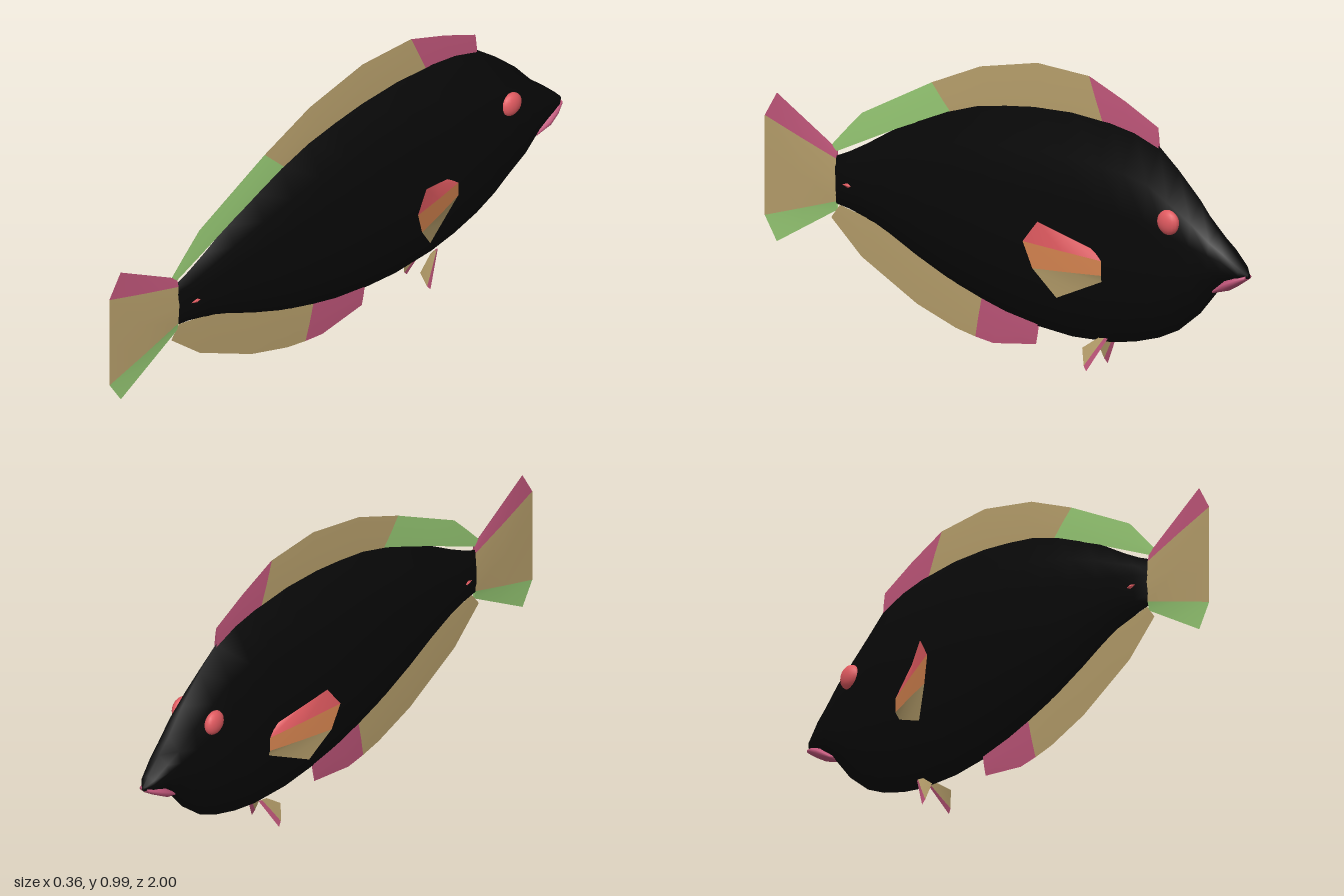
import * as THREE from 'three';

const mat = (name, color) => {
  const m = new THREE.MeshStandardMaterial({ color, side: THREE.DoubleSide });
  m.name = name;
  return m;
};

function geometry(pos, idx) {
  const g = new THREE.BufferGeometry();
  g.setAttribute('position', new THREE.Float32BufferAttribute(pos, 3));
  g.setIndex(idx);
  g.computeVertexNormals();
  return g;
}

// Body cross-section: [width factor, height factor], ridge at top and bottom
const RING = [[0, 1], [0.8, 0.64], [0.99, 0.26], [1, -0.22], [0.8, -0.64],
  [0, -1], [-0.8, -0.64], [-1, -0.22], [-0.99, 0.26], [-0.8, 0.64]];

// Loft through stations [z, top, bottom, half width], from nose to tail
function loft(stations) {
  const pos = [], idx = [], n = RING.length, last = stations.length - 1;
  for (const [z, top, bottom, w] of stations)
    for (const [a, b] of RING)
      pos.push(a * w, (top + bottom) / 2 + b * (top - bottom) / 2, z);
  for (let i = 0; i < last; i++)
    for (let j = 0; j < n; j++) {
      const a = i * n + j, b = i * n + (j + 1) % n;
      idx.push(a, b, a + n, b, b + n, a + n);
    }
  for (let j = 1; j < n - 1; j++) {
    idx.push(0, j + 1, j);
    idx.push(last * n, last * n + j, last * n + j + 1);
  }
  return geometry(pos, idx);
}

// Tapered fin strip: rows of [base point, edge point, half thickness at base]
function finStrip(rows, normal) {
  const pos = [], idx = [];
  for (const s of [1, -1]) {
    const start = pos.length / 3;
    for (const [base, edge, t] of rows) {
      for (const [k, thick] of [[0, t], [0.5, t * 0.8], [1, 0.0006]])
        for (let c = 0; c < 3; c++)
          pos.push(base[c] + (edge[c] - base[c]) * k + normal[c] * thick * s);
    }
    for (let i = 0; i < rows.length - 1; i++)
      for (let j = 0; j < 2; j++) {
        const a = start + i * 3 + j, b = a + 3;
        if (s > 0) idx.push(a, a + 1, b, b, a + 1, b + 1);
        else idx.push(a, b, a + 1, b, b + 1, a + 1);
      }
  }
  return geometry(pos, idx);
}

export function createModel() {
  const black = mat('black skin', 0x080808);
  const tan = mat('tan fin', 0xb8a06c);
  const pink = mat('pink fin', 0xc0567a);
  const green = mat('green fin', 0x98cb75);
  const red = mat('red', 0xe05a60);
  const orange = mat('orange fin', 0xd4834f);

  const model = new THREE.Group();
  model.name = 'fish';
  const add = (name, geo, material, parent = model) => {
    const m = new THREE.Mesh(geo, material);
    m.name = name;
    parent.add(m);
    return m;
  };
  // Fin made of coloured sections: [material, first row, last row]
  const fin = (name, rows, normal, sections) => {
    const g = new THREE.Group();
    g.name = name;
    sections.forEach(([m, a, b], i) =>
      add(`${name}Section${i + 1}`, finStrip(rows.slice(a, b + 1), normal), m, g));
    model.add(g);
  };
  // Rows on the centre plane: [base z, base y, edge z, edge y, half thickness]
  const flat = (rows) => rows.map(([bz, by, ez, ey, t]) => [[0, by, bz], [0, ey, ez], t]);
  const X = [1, 0, 0];

  // Body
  add('body', loft([
    [-1, 0.447, 0.43, 0.006], [-0.975, 0.475, 0.42, 0.028], [-0.92, 0.53, 0.395, 0.045],
    [-0.87, 0.575, 0.36, 0.055], [-0.8, 0.66, 0.275, 0.066], [-0.71, 0.745, 0.2, 0.075],
    [-0.63, 0.81, 0.16, 0.081], [-0.53, 0.845, 0.127, 0.087], [-0.43, 0.862, 0.106, 0.09],
    [-0.27, 0.869, 0.095, 0.09], [-0.12, 0.859, 0.104, 0.09], [0, 0.84, 0.124, 0.087],
    [0.12, 0.815, 0.152, 0.082], [0.24, 0.773, 0.188, 0.074], [0.36, 0.717, 0.237, 0.063],
    [0.48, 0.649, 0.294, 0.049], [0.58, 0.587, 0.335, 0.035], [0.65, 0.548, 0.353, 0.025],
    [0.715, 0.518, 0.362, 0.006]]), black);

  // Lower lip
  add('lip', loft([
    [-0.994, 0.442, 0.424, 0.02], [-0.96, 0.436, 0.4, 0.037],
    [-0.92, 0.42, 0.375, 0.044], [-0.87, 0.375, 0.36, 0.03]]), pink);

  // Dorsal fin
  fin('dorsalFin', flat([
    [-0.63, 0.8, -0.625, 0.872, 0.004], [-0.5, 0.84, -0.49, 0.935, 0.005],
    [-0.4, 0.85, -0.34, 0.993, 0.006], [-0.15, 0.85, -0.125, 0.997, 0.006],
    [0.06, 0.815, 0.11, 0.94, 0.006], [0.23, 0.765, 0.31, 0.848, 0.006],
    [0.45, 0.665, 0.6, 0.688, 0.005], [0.6, 0.59, 0.67, 0.615, 0.004],
    [0.72, 0.53, 0.73, 0.55, 0.002]]), X, [[pink, 0, 2], [tan, 2, 5], [green, 5, 8]]);

  // Anal fin
  fin('analFin', flat([
    [-0.13, 0.11, -0.12, 0.04, 0.004], [0, 0.13, 0.055, 0.01, 0.006],
    [0.1, 0.155, 0.13, 0.018, 0.006], [0.2, 0.185, 0.21, 0.032, 0.006],
    [0.34, 0.24, 0.37, 0.083, 0.006], [0.53, 0.325, 0.6, 0.2, 0.005],
    [0.69, 0.357, 0.725, 0.31, 0.002]]), X, [[pink, 0, 2], [tan, 2, 6]]);

  // Tail fin
  fin('tailFin', flat([
    [0.7, 0.545, 0.95, 0.69, 0.001], [0.7, 0.515, 1, 0.605, 0.007],
    [0.7, 0.44, 1, 0.435, 0.011], [0.7, 0.37, 1, 0.265, 0.007],
    [0.7, 0.34, 0.95, 0.185, 0.001]]), X, [[pink, 0, 1], [tan, 1, 3], [green, 3, 4]]);

  // Paired parts, left and right
  for (const [side, s] of [['left', 1], ['right', -1]]) {
    const p = (x, y, z) => [s * x, y, z];

    const eye = add(`${side}Eye`, new THREE.SphereGeometry(1, 16, 12), red);
    eye.scale.set(0.024, 0.042, 0.042);
    eye.position.set(s * 0.068, 0.585, -0.72);

    const spine = add(`${side}TailSpine`, new THREE.OctahedronGeometry(1), red);
    spine.scale.set(0.006, 0.009, 0.025);
    spine.position.set(s * 0.026, 0.44, 0.635);

    fin(`${side}PectoralFin`, [
      [p(0.086, 0.44, -0.425), p(0.165, 0.522, -0.255), 0.001],
      [p(0.087, 0.41, -0.46), p(0.178, 0.45, -0.205), 0.007],
      [p(0.087, 0.36, -0.46), p(0.165, 0.36, -0.235), 0.007],
      [p(0.083, 0.335, -0.455), p(0.128, 0.264, -0.305), 0.001],
    ], [s * 0.95, 0, -0.32], [[red, 0, 1], [orange, 1, 2], [tan, 2, 3]]);

    fin(`${side}PelvicFin`, [
      [p(0.024, 0.125, -0.435), p(0.057, 0.01, -0.372), 0.001],
      [p(0.026, 0.125, -0.425), p(0.054, 0.025, -0.36), 0.004],
      [p(0.028, 0.122, -0.4), p(0.04, 0.08, -0.343), 0.001],
    ], [s * 0.95, 0.3, 0], [[pink, 0, 1], [tan, 1, 2]]);
  }
  return model;
}
